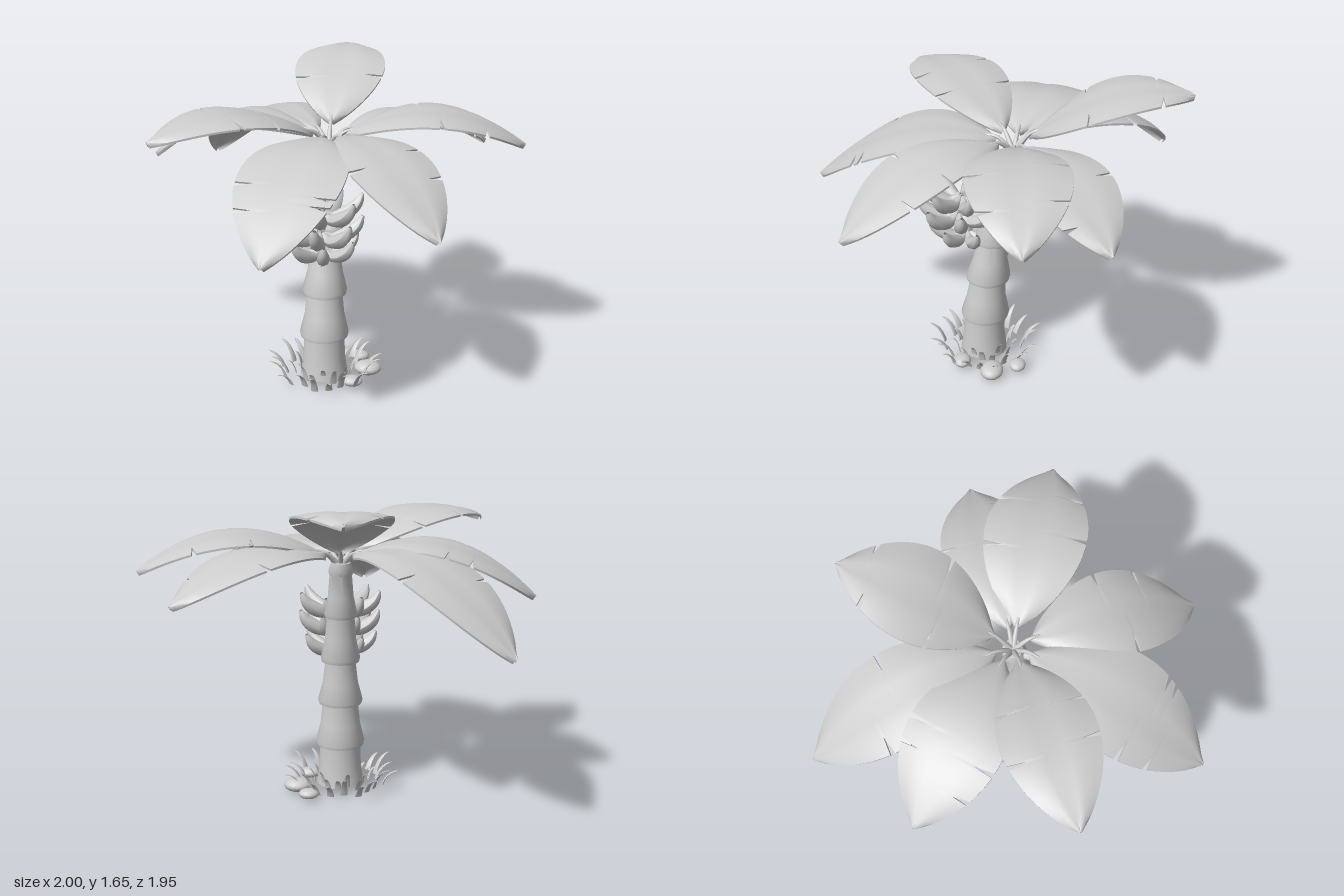
import * as THREE from 'three';
import { toCreasedNormals } from 'three/addons/utils/BufferGeometryUtils.js';

const grey = new THREE.MeshStandardMaterial({ color: 0xcccccc, side: THREE.DoubleSide });
grey.name = 'plain grey';

const V = (x, y, z) => new THREE.Vector3(x, y, z);
const crown = V(-0.02, 1.26, -0.095);

function add(parent, name, geometry) {
  const mesh = new THREE.Mesh(geometry, grey);
  mesh.name = name;
  parent.add(mesh);
  return mesh;
}

function addGroup(parent, name) {
  const group = new THREE.Group();
  group.name = name;
  parent.add(group);
  return group;
}

// Tube whose radius follows a rule along its length
function taperedTube(curve, segments, sides, radiusAt, zScale = 1) {
  const geo = new THREE.TubeGeometry(curve, segments, 1, sides);
  const pos = geo.attributes.position;
  const p = V(0, 0, 0);
  for (let i = 0; i < pos.count; i++) {
    const u = Math.floor(i / (sides + 1)) / segments;
    const c = curve.getPointAt(u);
    p.fromBufferAttribute(pos, i).sub(c).multiplyScalar(radiusAt(u));
    p.z *= zScale;
    p.add(c);
    pos.setXYZ(i, p.x, p.y, p.z);
  }
  geo.computeVertexNormals();
  return geo;
}

// Thin arched blade; slits are positions along the rib, negative for the other edge
function bladeGeometry(rib, halfWidth, slits) {
  const gap = 0.013, cols = 8, thick = 0.01;
  const ring = 2 * (cols + 1);
  let rows = [];
  for (let i = 0; i <= 28; i++) rows.push(i / 28);
  rows = rows.filter((u) => slits.every((s) => Math.abs(u - Math.abs(s)) > gap));
  for (const s of slits) rows.push(Math.abs(s) - gap, Math.abs(s), Math.abs(s) + gap);
  rows.sort((a, b) => a - b);

  const positions = [], index = [];
  rows.forEach((u, i) => {
    const c = rib.getPointAt(u);
    const t = rib.getTangentAt(u);
    const side = V(t.z, 0, -t.x).normalize();
    const up = t.clone().cross(side).normalize();
    const width = halfWidth * Math.max(0.04, Math.pow(Math.abs(Math.sin(Math.PI * u)), 0.75));
    for (let j = 0; j < ring; j++) {
      const top = j <= cols;
      let v = ((top ? j : ring - 1 - j) / cols) * 2 - 1;
      if (slits.some((s) => Math.abs(s) === u && s * v > 0)) v *= 0.6;
      // slight arch with a shallow crease along the rib
      const lift = -0.025 * v * v - 0.008 * Math.exp(-v * v * 20) - (top ? 0 : thick);
      const p = c.clone().addScaledVector(side, v * width).addScaledVector(up, lift);
      positions.push(p.x, p.y, p.z);
      if (i === rows.length - 1) continue;
      const a = i * ring + j, b = i * ring + (j + 1) % ring;
      index.push(a, a + ring, b, b, a + ring, b + ring);
    }
  });
  const geo = new THREE.BufferGeometry();
  geo.setAttribute('position', new THREE.Float32BufferAttribute(positions, 3));
  geo.setIndex(index);
  return toCreasedNormals(geo, 0.7);
}

// Leaf arching from the crown to its tip, on a short stalk
function addLeaf(parent, name, tip, bulge, halfWidth, slits) {
  const group = addGroup(parent, name);
  const out = V(tip.x - crown.x, 0, tip.z - crown.z).normalize();
  const start = crown.clone().addScaledVector(out, 0.085);
  start.y = 1.34 + 0.1 * Math.max(0, tip.y - 1.3);
  const middle = start.clone().lerp(tip, 0.5);
  middle.y += 2 * bulge;
  const rib = new THREE.QuadraticBezierCurve3(start, middle, tip);
  add(group, 'blade', bladeGeometry(rib, halfWidth, slits));

  const joint = rib.getPointAt(0.06);
  joint.y -= 0.012;
  const stalk = new THREE.CatmullRomCurve3([crown, start, joint]);
  add(group, 'stalk', taperedTube(stalk, 8, 8, (u) => 0.017 - 0.011 * u));
}

function buildLeaves(parent) {
  addLeaf(parent, 'leftLeaf', V(1, 1.28, -0.24), 0.145, 0.255, [0.4, 0.69, -0.5, -0.75]);
  addLeaf(parent, 'rightLeaf', V(-1, 1.15, -0.25), 0.155, 0.245, [0.57, 0.75, -0.49, -0.62]);
  addLeaf(parent, 'backLeftLeaf', V(0.79, 1.19, -0.63), 0.12, 0.23, [0.52, -0.8]);
  addLeaf(parent, 'backRightLeaf', V(-0.81, 1, -0.88), 0.19, 0.245, [0.6, -0.48]);
  addLeaf(parent, 'frontRightLeaf', V(-0.81, 1.43, 0.52), 0.125, 0.235, [0.35, 0.57, -0.33, -0.6]);
  addLeaf(parent, 'frontLeaf', V(-0.18, 1, 0.97), 0.16, 0.265, [0.63, 0.68, -0.58, -0.73]);
  addLeaf(parent, 'frontLeftLeaf', V(0.61, 1.06, 0.68), 0.145, 0.23, [0.42, 0.65, -0.5]);
  addLeaf(parent, 'raisedBackLeaf', V(-0.02, 1.635, -0.98), 0.115, 0.245, [0.36, 0.78, -0.4, -0.82]);
}

function buildTrunk(parent) {
  // flared segments, each overhanging the neck of the one below: height, neck, lip
  const profile = [new THREE.Vector2(0, 0.03), new THREE.Vector2(0.127, 0.03)];
  for (const [y, neck, lip] of [[0.255, 0.108, 0.131], [0.495, 0.094, 0.119],
    [0.735, 0.08, 0.104], [0.985, 0.072, 0.086], [1.22, 0.057, 0.064]]) {
    const below = profile[profile.length - 1];
    profile.push(
      new THREE.Vector2(below.x * 0.4 + neck * 0.6 - 0.002, below.y * 0.55 + y * 0.45),
      new THREE.Vector2(neck, y),
      new THREE.Vector2(lip - 0.004, y),
      new THREE.Vector2(lip, y + 0.02));
  }
  profile.push(new THREE.Vector2(0.05, 1.285), new THREE.Vector2(0, 1.29));
  const geo = new THREE.LatheGeometry(profile, 28);
  // lean the trunk backwards towards the top
  const pos = geo.attributes.position;
  for (let i = 0; i < pos.count; i++) {
    const y = pos.getY(i);
    pos.setXYZ(i, pos.getX(i) - 0.022, y, pos.getZ(i) + 0.06 - 0.095 * y * y);
  }
  add(parent, 'trunk', toCreasedNormals(geo, 0.6));
}

function buildFruit(parent) {
  const fruit = addGroup(parent, 'fruitBunch');
  // stem arching forward from the crown and hanging down to a point
  const stem = new THREE.CatmullRomCurve3([V(-0.02, 1.24, -0.09), V(-0.02, 1.25, 0),
    V(-0.02, 1.19, 0.08), V(-0.02, 1.05, 0.135), V(-0.025, 0.68, 0.135)]);
  add(fruit, 'fruitStem', taperedTube(stem, 30, 10, (u) => 0.004 + 0.016 * Math.min(1, (1 - u) / 0.15)));

  // three tiers of upturned bananas: height, depth, size, turn
  const finger = new THREE.CatmullRomCurve3([V(0.015, 0.03, 0), V(0.06, 0, 0),
    V(0.125, 0.015, 0), V(0.185, 0.06, 0), V(0.215, 0.115, 0)]);
  const shape = taperedTube(finger, 14, 8,
    (u) => 0.004 + 0.034 * Math.pow(Math.sin(Math.PI * (u * 0.96 + 0.02)), 0.75));
  for (const [y, z, size, turn] of [[0.965, 0.17, 1, 0.1], [0.86, 0.19, 1, 0], [0.757, 0.15, 0.9, 0.2]]) {
    for (let i = 0; i < 7; i++) {
      const banana = add(fruit, 'banana', shape);
      banana.position.set(-0.02, y, z);
      banana.rotation.y = -Math.PI / 2 + turn + (i * Math.PI * 2) / 7;
      banana.scale.setScalar(size);
    }
  }
}

function buildGround(parent) {
  const ground = addGroup(parent, 'groundCover');
  ground.position.set(-0.022, 0.03, 0.055);
  // curved grass blades in two rings: count, radius, reach, height
  const stroke = new THREE.QuadraticBezierCurve3(V(0, 0, 0), V(0.025, 0.1, 0), V(0.09, 0.115, 0));
  const geo = taperedTube(stroke, 8, 6, (u) => 0.0055 * Math.sqrt(1 - u) + 0.0004, 3.4);
  for (const [count, radius, reach, height] of [[17, 0.135, 0.45, 0.8], [19, 0.215, 1, 0.95]]) {
    for (let i = 0; i < count; i++) {
      const a = (i / count) * Math.PI * 2;
      const r = radius + 0.02 * Math.sin(i * 2.3);
      const grass = add(ground, 'grassBlade', geo);
      grass.position.set(Math.cos(a) * r, 0, -Math.sin(a) * r);
      grass.rotation.y = a;
      grass.scale.set(reach, height * (0.88 + 0.18 * Math.sin(i * 4.1)), 1);
    }
  }
  // flattened pebbles: position and size
  const pebble = new THREE.SphereGeometry(1, 16, 10);
  for (const [x, z, size] of [[0.23, -0.065, 0.07], [0.165, 0.105, 0.052], [0.17, -0.2, 0.05]]) {
    const stone = add(ground, 'pebble', pebble);
    stone.position.set(x, 0.02 - size * 0.17, z);
    stone.scale.set(size * 1.08, size * 0.54, size * 0.9);
  }
}

export function createModel() {
  const model = new THREE.Group();
  model.name = 'bananaPalm';
  buildTrunk(model);
  buildLeaves(model);
  buildFruit(model);
  buildGround(model);
  return model;
}
